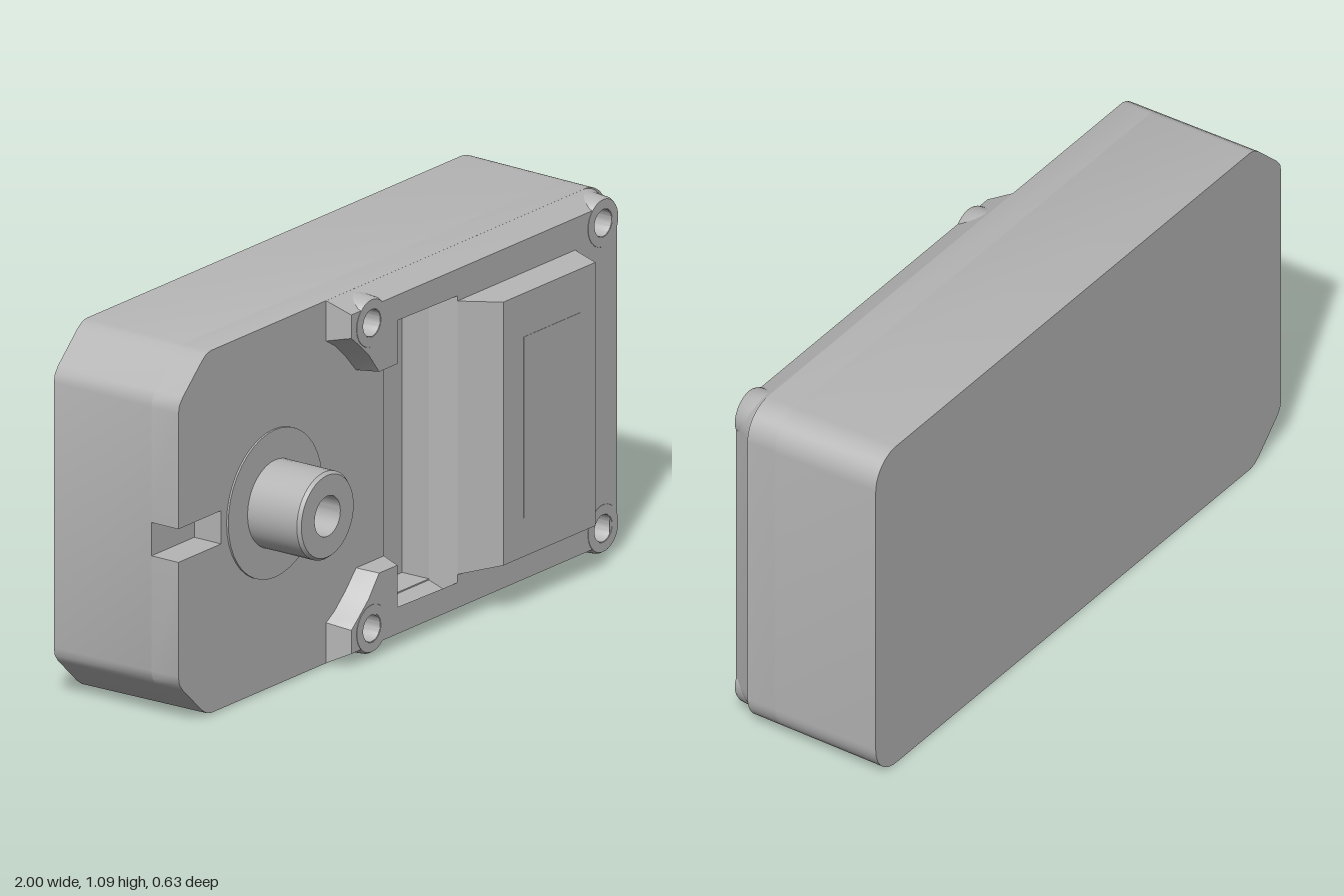
import * as THREE from 'three';
import { toCreasedNormals } from 'three/addons/utils/BufferGeometryUtils.js';

const MID = 0.545; // the housing is mirrored about this height
const FACE = 0.125, RAISED = 0.195, FLOOR = 0.03, BACK = -0.315;
const grey = new THREE.MeshStandardMaterial({ color: 0xb5b5b5 });
grey.name = 'grey plastic';

const vec = ([x, y]) => new THREE.Vector2(x, y);
const flip = ([x, y]) => [x, 2 * MID - y];
// upper half of an outline, completed by its mirror image
const mirrored = (half) => [...half, ...half.map(flip).reverse()];

function corner(cx, cy, r, steps = 10) {
  return Array.from({ length: steps + 1 }, (_, i) => {
    const a = (i / steps) * Math.PI / 2;
    return [cx + r * Math.cos(a), cy + r * Math.sin(a)];
  });
}

function circleHole(x, y, r) {
  const path = new THREE.Path();
  path.absarc(x, y, r, 0, Math.PI * 2, true);
  return path;
}

// extrude an outline along z; an optional second outline shapes the front end
function slab(base, z0, z1, { top = null, holes = [], draft = 0 } = {}) {
  const shape = new THREE.Shape(base.map(vec));
  shape.holes.push(...holes);
  const geo = new THREE.ExtrudeGeometry(shape, { depth: z1 - z0, bevelEnabled: false, curveSegments: 24 });
  geo.translate(0, 0, z0);
  const p = geo.attributes.position;
  for (let i = 0; i < p.count; i++) {
    const x = p.getX(i), y = p.getY(i), z = p.getZ(i);
    if (top && z > z1 - 1e-4) {
      const k = base.findIndex(([bx, by]) => Math.abs(bx - x) < 1e-4 && Math.abs(by - y) < 1e-4);
      if (k >= 0) p.setXY(i, top[k][0], top[k][1]);
    }
    if (draft) p.setY(i, MID + (y - MID) * (1 - draft * (z - BACK)));
  }
  return toCreasedNormals(geo, 0.5);
}

// turned part with its axis along z
function turned(profile, x, y) {
  const geo = new THREE.LatheGeometry(profile.map(vec), 40);
  geo.rotateX(Math.PI / 2);
  geo.translate(x, y, 0);
  return toCreasedNormals(geo, 0.5);
}

const rect = (x0, x1, y0, y1) => [[x0, y0], [x1, y0], [x1, y1], [x0, y1]];

export function createModel() {
  const group = new THREE.Group();
  const add = (name, geo) => {
    const mesh = new THREE.Mesh(geo, grey);
    mesh.name = name;
    group.add(mesh);
  };

  // housing: solid rear, and a front layer cut by the slot and the end notch
  const outline = [...corner(0.9, 0.99, 0.1), [-0.85, 1.09], [-0.87, 1.084], [-0.89, 1.07],
    [-0.98, 0.985], [-0.995, 0.965], [-1, 0.94]];
  add('rearHousing', slab(mirrored(outline), BACK, FLOOR, { draft: 0.02 }));
  const slot = new THREE.Path(rect(-0.04, 0.17, 0.12, 0.97).reverse().map(vec));
  add('frontHousing', slab(mirrored([...outline, [-1, 0.595], [-0.8, 0.595]]), FLOOR, FACE,
    { holes: [slot], draft: 0.02 }));

  // raised plate with sloping rim, two arms and a bevelled slot
  const screws = [[-0.19, 1.0], [0.89, 1.0]].flatMap((s) => [s, flip(s)]);
  const plateBase = mirrored([...corner(0.89, 0.985, 0.1), [-0.31, 1.085], [-0.31, 0.965],
    [-0.27, 0.94], [-0.22, 0.895], [-0.17, 0.84], [-0.04, 0.84], [-0.04, 0.97], [0.17, 0.97]]);
  const plateTop = mirrored([...corner(0.89, 0.985, 0.065), [-0.285, 1.05], [-0.285, 0.98],
    [-0.255, 0.955], [-0.205, 0.91], [-0.155, 0.845], [-0.07, 0.845], [-0.07, 1.02], [0.21, 1.02]]);
  add('raisedPlate', slab(plateBase, FACE, RAISED,
    { top: plateTop, holes: screws.map(([x, y]) => circleHole(x, y, 0.04)) }));

  // screw bosses around the holes
  for (const [x, y] of screws) {
    add('screwBoss', turned([[0.08, FACE], [0.075, RAISED - 0.008], [0.07, RAISED + 0.001],
      [0.042, RAISED + 0.001], [0.039, RAISED - 0.006], [0.039, FACE]], x, y));
  }

  // hood with a long ramp towards the slot
  add('hood', slab(rect(0.21, 0.76, 0.14, 0.955), RAISED, 0.278,
    { top: rect(0.315, 0.745, 0.155, 0.94) }));
  add('hoodPanel', slab(rect(0.41, 0.675, 0.27, 0.81), 0.277, 0.279));

  // output shaft with a bored end, on a shallow disc
  add('shaftDisc', turned([[0.22, FACE], [0.22, 0.131], [0, 0.131]], -0.555, MID + 0.005));
  add('shaft', turned([[0.13, FACE], [0.13, 0.305], [0.122, 0.315], [0.06, 0.315],
    [0.06, 0.2], [0, 0.2]], -0.555, MID + 0.005));

  return group;
}
